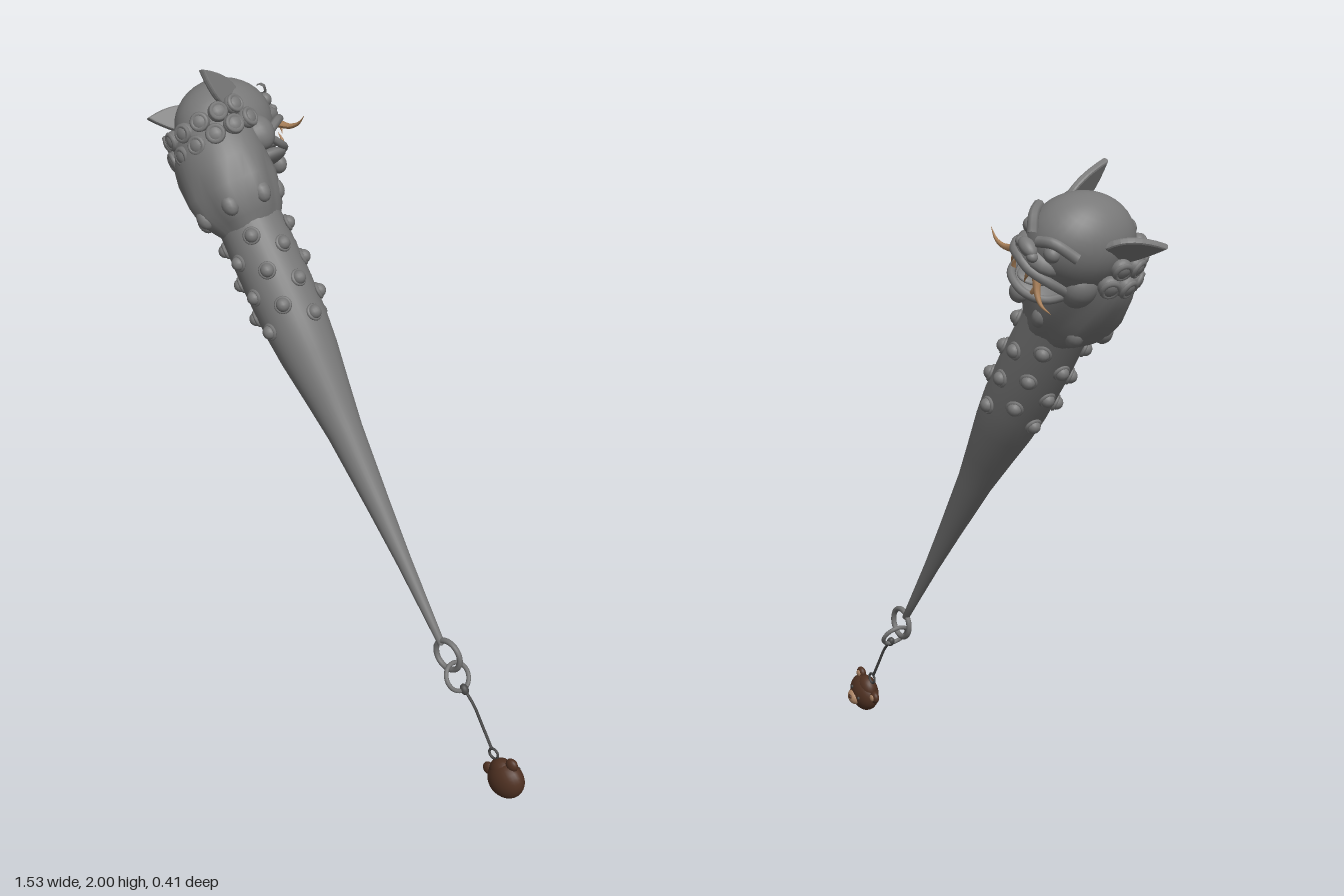
import * as THREE from 'three';

const mat = (name, color) => Object.assign(new THREE.MeshStandardMaterial({ color }), { name });

export function createModel() {
  const stone = mat('grey stone', 0x787878);
  const steel = mat('ring steel', 0x747474);
  const dark = mat('dark cord', 0x484848);
  const ivory = mat('tan ivory', 0xa87f58);
  const brown = mat('bear brown', 0x4f3122);
  const tan = mat('bear tan', 0xa98263);

  // Local frame: y runs up the club, x across it, -z is the face side
  const club = new THREE.Group();
  club.name = 'club';
  club.position.set(0.43, 0.43, 0);
  club.rotation.z = 0.625;
  const Z = 0.055;

  const add = (name, geo, m, p = [0, 0, 0], parent = club) => {
    const mesh = new THREE.Mesh(geo, m);
    mesh.name = name;
    mesh.position.set(...p);
    parent.add(mesh);
    return mesh;
  };
  const ball = (name, m, p, r, parent = club, seg = 18) => {
    const mesh = add(name, new THREE.SphereGeometry(1, seg, Math.ceil(seg * 0.7)), m, p, parent);
    mesh.scale.set(...r);
    return mesh;
  };
  const v3 = (p) => new THREE.Vector3(...p);
  const tube = (name, m, pts, r, seg = 24) =>
    add(name, new THREE.TubeGeometry(new THREE.CatmullRomCurve3(pts.map(v3)), seg, r, 8), m);

  // Curved tapering horn: a tube whose rings shrink towards the tip
  const horn = (name, m, pts, r) => {
    const curve = new THREE.CatmullRomCurve3(pts.map(v3));
    const n = 14, k = 8;
    const g = new THREE.TubeGeometry(curve, n, r, k);
    const pos = g.attributes.position, v = new THREE.Vector3();
    for (let i = 0; i <= n; i++) {
      const c = curve.getPointAt(i / n);
      for (let j = 0; j <= k; j++) {
        const id = i * (k + 1) + j;
        v.fromBufferAttribute(pos, id).sub(c).multiplyScalar(1 - 0.97 * i / n).add(c);
        pos.setXYZ(id, v.x, v.y, v.z);
      }
    }
    g.computeVertexNormals();
    return add(name, g, m);
  };

  // Handle
  const profile = [[0, -0.005], [0.011, 0], [0.015, 0.09], [0.024, 0.28], [0.036, 0.456], [0.055, 0.7],
    [0.072, 0.83], [0.09, 0.96], [0.099, 1.06], [0.102, 1.2], [0.1, 1.32], [0.096, 1.45]];
  add('handle', new THREE.LatheGeometry(profile.map((p) => new THREE.Vector2(...p)), 32), stone, [0, 0, Z]);

  // Studs: staggered rows of four, each a dome on a collar
  for (let row = 0; row < 6; row++) {
    for (let i = 0; i < 4; i++) {
      const a = (i + (row % 2) / 2) * Math.PI / 2;
      const stud = new THREE.Group();
      stud.name = 'stud';
      stud.position.set(Math.cos(a) * 0.098, 1.062 + row * 0.0555, Z + Math.sin(a) * 0.098);
      stud.rotation.y = Math.PI / 2 - a;
      ball('studDome', stone, [0, 0, 0.006], [0.021, 0.021, 0.021], stud, 14);
      add('studCollar', new THREE.TorusGeometry(0.021, 0.006, 6, 16), stone, [0, 0, 0.004], stud);
      club.add(stud);
    }
  }

  // Neck: oval rings [y, half width, half depth, z centre]
  const rings = [[1.36, 0.085, 0.09, 0.055], [1.4, 0.115, 0.108, 0.06], [1.44, 0.138, 0.125, 0.068],
    [1.5, 0.15, 0.134, 0.07], [1.57, 0.152, 0.134, 0.068], [1.63, 0.145, 0.13, 0.062], [1.7, 0.12, 0.115, 0.05], [1.75, 0.06, 0.06, 0.04]];
  const n = 36, verts = [], index = [];
  rings.forEach(([y, w, d, zc], i) => {
    for (let j = 0; j < n; j++) {
      const a = j / n * Math.PI * 2;
      const fold = 1 + (i > 0 && i < 4 ? 0.045 * Math.cos(a * 7) : 0);
      verts.push(Math.cos(a) * w * fold, y, zc + Math.sin(a) * d * fold);
      if (i) {
        const p = (i - 1) * n + j, q = (i - 1) * n + (j + 1) % n;
        index.push(p, p + n, q, q, p + n, q + n);
      }
    }
  });
  const neck = new THREE.BufferGeometry();
  neck.setAttribute('position', new THREE.Float32BufferAttribute(verts, 3));
  neck.setIndex(index);
  neck.computeVertexNormals();
  add('neck', neck, stone);

  // Skull, muzzle and jaw
  ball('skull', stone, [0, 1.69, -0.008], [0.13, 0.138, 0.158], club, 28);
  ball('upperJaw', stone, [0, 1.665, -0.12], [0.085, 0.04, 0.07]);
  ball('nose', stone, [0, 1.69, -0.178], [0.036, 0.02, 0.022]);
  ball('lowerJaw', stone, [0, 1.55, -0.085], [0.078, 0.026, 0.078]);
  ball('tongue', stone, [0, 1.582, -0.1], [0.04, 0.012, 0.062]);
  tube('upperLip', stone, [[-0.1, 1.6, -0.06], [-0.085, 1.635, -0.13], [-0.04, 1.648, -0.178], [0, 1.655, -0.188],
    [0.04, 1.648, -0.178], [0.085, 1.635, -0.13], [0.1, 1.6, -0.06]], 0.014);
  tube('lowerLip', stone, [[-0.1, 1.6, -0.06], [-0.08, 1.568, -0.11], [-0.04, 1.56, -0.152], [0, 1.56, -0.162],
    [0.04, 1.56, -0.152], [0.08, 1.568, -0.11], [0.1, 1.6, -0.06]], 0.012);
  ball('chinTuft', stone, [0, 1.525, -0.135], [0.03, 0.03, 0.025]);

  for (const s of [-1, 1]) {
    ball('eye', stone, [s * 0.056, 1.712, -0.143], [0.024, 0.022, 0.022]);
    tube('brow', stone, [[s * 0.015, 1.722, -0.168], [s * 0.055, 1.748, -0.152], [s * 0.105, 1.735, -0.1]], 0.015, 12);
    ball('nostril', stone, [s * 0.03, 1.683, -0.178], [0.016, 0.014, 0.016]);
    ball('cheek', stone, [s * 0.1, 1.615, -0.035], [0.042, 0.055, 0.05]);
    horn('tusk', ivory, [[s * 0.055, 1.632, -0.155], [s * 0.09, 1.607, -0.163], [s * 0.125, 1.6, -0.168], [s * 0.168, 1.608, -0.165]], 0.013);
    horn('upperFang', ivory, [[s * 0.035, 1.645, -0.17], [s * 0.037, 1.62, -0.174], [s * 0.036, 1.6, -0.17]], 0.009);
    horn('lowerFang', ivory, [[s * 0.05, 1.56, -0.14], [s * 0.053, 1.585, -0.145], [s * 0.05, 1.608, -0.145]], 0.009);

    // Ear: swept-back leaf with a raised tip
    const leaf = new THREE.Shape();
    leaf.moveTo(-0.035, 0);
    leaf.bezierCurveTo(-0.055, 0.05, -0.035, 0.09, 0.012, 0.145);
    leaf.bezierCurveTo(0.03, 0.09, 0.045, 0.05, 0.03, 0);
    const ear = add('ear', new THREE.ExtrudeGeometry(leaf, { depth: 0.008, bevelSize: 0.006, bevelThickness: 0.006, bevelSegments: 2, curveSegments: 8 }), stone);
    const up = v3([s * 0.055, 0.075, 0.115]).normalize();
    const out = v3([s, 0, 0]).addScaledVector(up, -s * up.x).normalize();
    ear.quaternion.setFromRotationMatrix(new THREE.Matrix4().makeBasis(up.clone().cross(out), up, out));
    ear.position.set(s * 0.098, 1.74, 0.002);
  }

  // Mane curls: bead with a coiled ridge, in two staggered rows round the back
  const curl = (a, y, rx, rz, size) => {
    const g = new THREE.Group();
    g.name = 'maneCurl';
    g.position.set(Math.sin(a) * rx, y, 0.045 + Math.cos(a) * rz);
    g.rotation.y = a;
    ball('curlBead', stone, [0, 0, 0], [size, size, size * 0.8], g, 14);
    add('curlRidge', new THREE.TorusGeometry(size * 0.72, size * 0.26, 6, 16), stone, [0, 0, size * 0.42], g);
    club.add(g);
  };
  for (let i = -4; i <= 4; i++) curl(i * 0.45, 1.635 + Math.abs(i) * 0.006, 0.145, 0.128, 0.031);
  for (let i = -3.5; i <= 3.5; i++) curl(i * 0.47, 1.69 + Math.abs(i) * 0.006, 0.132, 0.12, 0.03);

  // Tufts along the lower edge of the neck
  for (let i = 0; i < 7; i++) {
    const a = i / 7 * Math.PI * 2;
    ball('neckTuft', stone, [Math.cos(a) * 0.128, 1.445, 0.068 + Math.sin(a) * 0.115], [0.026, 0.034, 0.026], club, 12);
  }

  // Linked rings and cord
  add('handleRing', new THREE.TorusGeometry(0.048, 0.009, 10, 36), steel, [0.006, -0.038, Z]);
  add('linkRing', new THREE.TorusGeometry(0.043, 0.007, 10, 32), steel, [0.005, -0.109, Z]).rotation.y = Math.PI / 2;
  ball('clasp', dark, [0.01, -0.152, Z], [0.013, 0.018, 0.013]);
  tube('cord', dark, [[0.01, -0.152, Z], [0.02, -0.207, Z], [0.013, -0.272, Z - 0.003], [0.008, -0.348, Z - 0.003]], 0.0045);
  add('charmRing', new THREE.TorusGeometry(0.017, 0.004, 8, 24), dark, [0.008, -0.366, Z - 0.002]);

  // Bear head charm, face towards -z
  const bear = new THREE.Group();
  bear.name = 'bearCharm';
  bear.position.set(0.01, -0.446, 0.052);
  club.add(bear);
  ball('bearHead', brown, [0, -0.006, 0], [0.066, 0.06, 0.044], bear, 24);
  ball('bearCrown', brown, [0, 0.022, 0], [0.045, 0.042, 0.032], bear);
  ball('bearMuzzle', tan, [0, -0.022, -0.036], [0.029, 0.023, 0.021], bear);
  ball('bearNose', brown, [0, -0.014, -0.055], [0.009, 0.006, 0.005], bear, 10);
  for (const s of [-1, 1]) {
    ball('bearEar', brown, [s * 0.054, 0.036, 0], [0.021, 0.021, 0.014], bear);
    ball('bearInnerEar', tan, [s * 0.054, 0.036, -0.009], [0.013, 0.013, 0.008], bear, 12);
    ball('bearEye', dark, [s * 0.026, 0.006, -0.041], [0.006, 0.006, 0.004], bear, 10);
  }

  const model = new THREE.Group();
  model.name = 'beastHeadClub';
  model.add(club);
  return model;
}
